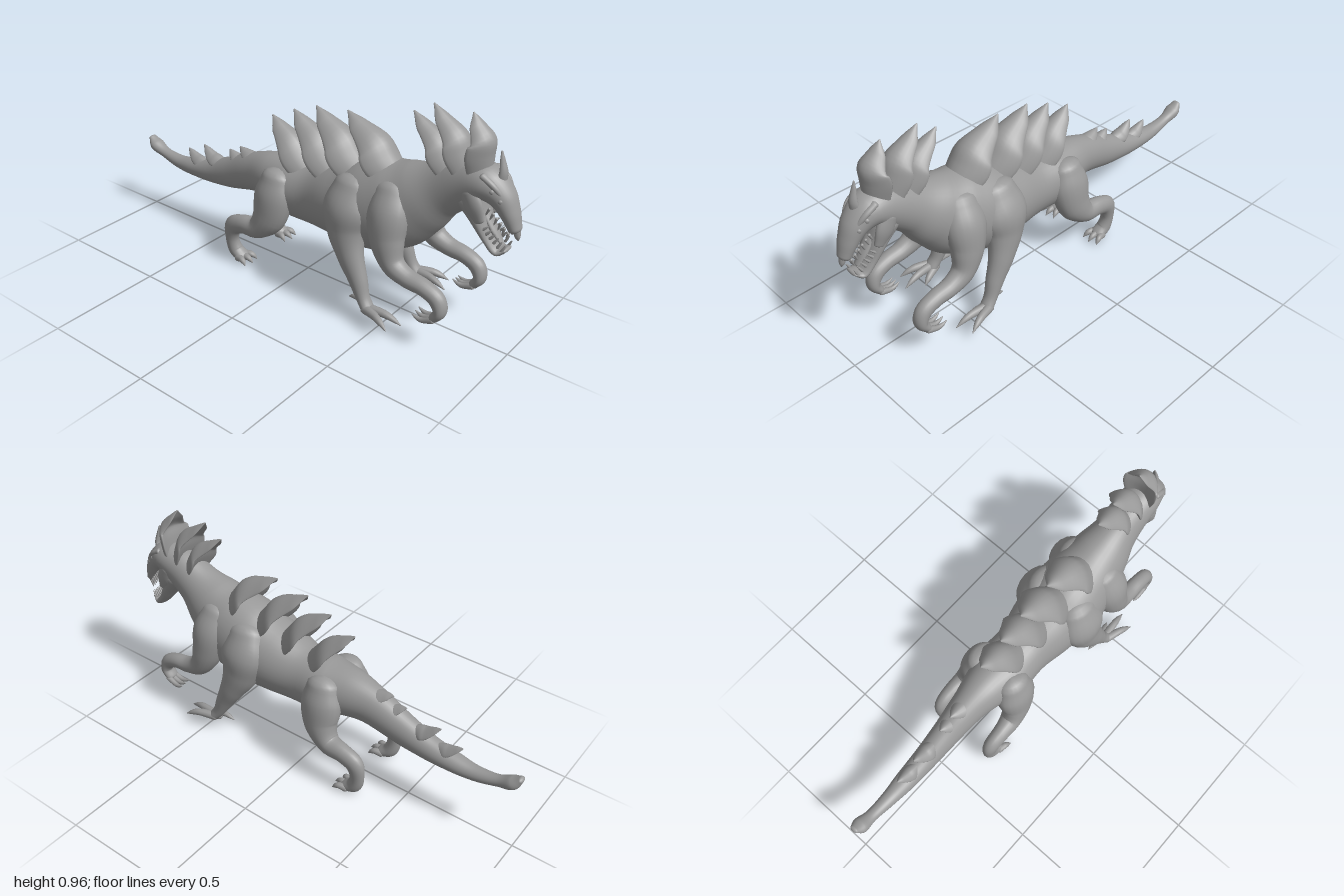
import * as THREE from 'three';

const hide = new THREE.MeshStandardMaterial({ color: 0x999999 });
hide.name = 'grey hide';

// Smooth tube through [x, y, z, radius in profile, radius across]; edges may droop to cup the section.
function loft(name, pts, { steps = 6, sides = 20, droop = 0 } = {}) {
  const path = new THREE.CatmullRomCurve3(pts.map(p => new THREE.Vector3(p[0], p[1], p[2])));
  const radii = new THREE.CatmullRomCurve3(pts.map(p => new THREE.Vector3(p[3], p[4], 0)), false, 'catmullrom', 0.4);
  const n = (pts.length - 1) * steps;
  const rings = [];
  const capAngles = [0.02, 0.4, 0.8, 1.2];
  for (const a of capAngles) rings.push([0, Math.sin(a), -Math.cos(a)]);
  for (let i = 0; i <= n; i++) rings.push([i / n, 1, 0]);
  for (const a of [...capAngles].reverse()) rings.push([1, Math.sin(a), Math.cos(a)]);
  const pos = [], idx = [];
  const zAxis = new THREE.Vector3(0, 0, 1);
  rings.forEach(([t, scale, push], i) => {
    const c = path.getPoint(t), T = path.getTangent(t), r = radii.getPoint(t);
    const N = new THREE.Vector3().crossVectors(zAxis, T).normalize();
    const B = new THREE.Vector3().crossVectors(T, N);
    const ra = Math.max(r.x, 0.001), rb = Math.max(r.y, 0.001);
    c.addScaledVector(T, push * Math.min(ra, rb) * 0.7);
    for (let j = 0; j < sides; j++) {
      const a = j / sides * Math.PI * 2, s = Math.sin(a) * scale;
      const v = c.clone()
        .addScaledVector(N, Math.cos(a) * scale * ra + droop * s * s * rb)
        .addScaledVector(B, s * rb);
      pos.push(v.x, v.y, v.z);
      if (i < rings.length - 1) {
        const k = i * sides + j, l = i * sides + (j + 1) % sides;
        idx.push(k, l, k + sides, l, l + sides, k + sides);
      }
    }
  });
  const g = new THREE.BufferGeometry();
  g.setAttribute('position', new THREE.Float32BufferAttribute(pos, 3));
  g.setIndex(idx);
  g.computeVertexNormals();
  const m = new THREE.Mesh(g, hide);
  m.name = name;
  return m;
}

// Pointed digit or claw: base, arched middle, tip.
function claw(name, a, b, r, arch = 0.015) {
  const mid = (k, f) => a[k] + (b[k] - a[k]) * f;
  return loft(name, [
    [...a, r, r],
    [mid(0, 0.5), mid(1, 0.5) + arch, mid(2, 0.5), r * 0.8, r * 0.8],
    [mid(0, 0.75), mid(1, 0.75) + arch * 0.8, mid(2, 0.75), r * 0.6, r * 0.6],
    [...b, 0.002, 0.002]], { steps: 3, sides: 10 });
}

// Cupped leaf-shaped spine, swept from base through a bend to its tip.
function spine(name, base, bend, tip, width, thick, droop = 0.55) {
  const mix = (a, b, f) => a + (b - a) * f;
  return loft(name, [
    [base[0], base[1], 0, thick * 1.3, width * 0.75],
    [mix(base[0], bend[0], 0.6), mix(base[1], bend[1], 0.6), 0, thick * 1.2, width],
    [bend[0], bend[1], 0, thick, width * 0.9],
    [mix(bend[0], tip[0], 0.6), mix(bend[1], tip[1], 0.6), 0, thick * 0.6, width * 0.5],
    [tip[0], tip[1], 0, 0.003, 0.004]], { steps: 5, sides: 24, droop });
}

export function createModel() {
  const model = new THREE.Group();
  model.name = 'sixLeggedBeast';

  // Tail, trunk, neck and upper head in one skin
  model.add(loft('body', [
    [-0.99, 0.37, 0, 0.012, 0.02], [-0.96, 0.338, 0, 0.028, 0.036], [-0.9, 0.312, 0, 0.024, 0.027],
    [-0.8, 0.293, 0, 0.032, 0.034], [-0.7, 0.297, 0, 0.042, 0.045], [-0.58, 0.312, 0, 0.056, 0.052],
    [-0.45, 0.345, 0, 0.075, 0.06], [-0.3, 0.395, 0, 0.092, 0.075], [-0.19, 0.41, 0, 0.11, 0.1],
    [-0.08, 0.4, 0, 0.13, 0.13], [0.05, 0.402, 0, 0.138, 0.125], [0.2, 0.425, 0, 0.165, 0.155],
    [0.35, 0.455, 0, 0.195, 0.17], [0.48, 0.505, 0, 0.185, 0.155], [0.58, 0.565, 0, 0.148, 0.125],
    [0.67, 0.627, 0, 0.108, 0.095], [0.76, 0.682, 0, 0.095, 0.086], [0.84, 0.71, 0, 0.076, 0.082],
    [0.905, 0.677, 0, 0.054, 0.062], [0.945, 0.62, 0, 0.038, 0.047], [0.972, 0.56, 0, 0.026, 0.032],
  ], { steps: 5, sides: 36 }));

  // Lower jaw, tongue and beak tip
  model.add(loft('lowerJaw', [
    [0.79, 0.64, 0, 0.06, 0.078], [0.84, 0.555, 0, 0.034, 0.064], [0.88, 0.49, 0, 0.022, 0.052],
    [0.92, 0.45, 0, 0.018, 0.045], [0.952, 0.465, 0, 0.008, 0.03]]));
  model.add(loft('tongue', [
    [0.85, 0.59, 0, 0.012, 0.025], [0.89, 0.53, 0, 0.012, 0.025], [0.925, 0.485, 0, 0.006, 0.014]]));
  model.add(claw('beakTip', [0.978, 0.56, 0], [0.99, 0.515, 0], 0.016, 0));

  // Brow horn and the three crest spines
  model.add(spine('browHorn', [0.9, 0.71], [0.906, 0.77], [0.89, 0.848], 0.024, 0.014, 0.2));
  const crest = [
    [[0.71, 0.7], [0.645, 0.82], [0.515, 0.905], 0.08],
    [[0.78, 0.72], [0.725, 0.86], [0.6, 0.957], 0.085],
    [[0.83, 0.73], [0.838, 0.875], [0.765, 0.964], 0.085]];
  for (const [a, b, c, w] of crest) model.add(spine('crestSpine', a, b, c, w, 0.02));

  // Large back spines and small tail spines
  const back = [
    [[0.04, 0.47], [-0.07, 0.615], [-0.195, 0.7], 0.09],
    [[0.18, 0.51], [0.07, 0.665], [-0.075, 0.757], 0.1],
    [[0.31, 0.56], [0.2, 0.71], [0.045, 0.803], 0.11],
    [[0.47, 0.6], [0.37, 0.74], [0.205, 0.825], 0.11]];
  for (const [a, b, c, w] of back) model.add(spine('backSpine', a, b, c, w, 0.025));
  const tail = [
    [[-0.62, 0.335], [-0.675, 0.355], [-0.73, 0.385], 0.036],
    [[-0.51, 0.375], [-0.565, 0.395], [-0.625, 0.433], 0.042],
    [[-0.35, 0.41], [-0.4, 0.432], [-0.46, 0.458], 0.048],
    [[-0.25, 0.45], [-0.32, 0.47], [-0.395, 0.49], 0.055]];
  for (const [a, b, c, w] of tail) model.add(spine('tailSpine', a, b, c, w, 0.016));

  for (const s of [1, -1]) {
    const side = new THREE.Group();
    side.name = s > 0 ? 'nearSide' : 'farSide';
    const limb = (name, pts) => side.add(loft(name, pts.map(([x, y, z, a, b]) => [x, y, z * s, a, b])));
    const digit = (name, a, b, r, arch) =>
      side.add(claw(name, [a[0], a[1], a[2] * s], [b[0], b[1], b[2] * s], r, arch));

    // Hind leg with forward-pointing toes
    limb('hindLeg', [
      [-0.1, 0.46, 0.085, 0.075, 0.06], [-0.105, 0.38, 0.105, 0.095, 0.07], [-0.12, 0.28, 0.125, 0.08, 0.06],
      [-0.175, 0.215, 0.14, 0.052, 0.048], [-0.25, 0.205, 0.148, 0.044, 0.038], [-0.31, 0.178, 0.148, 0.044, 0.034],
      [-0.327, 0.11, 0.145, 0.033, 0.028], [-0.31, 0.05, 0.14, 0.034, 0.032], [-0.27, 0.026, 0.137, 0.024, 0.036]]);
    for (const d of [-1, 0, 1])
      digit('hindToe', [-0.28, 0.026, 0.138 + d * 0.022], [-0.212 - Math.abs(d) * 0.01, 0.012, 0.138 + d * 0.04], 0.018, 0.012);

    // Middle leg with splayed toes
    limb('middleLeg', [
      [0.31, 0.555, 0.085, 0.09, 0.07], [0.305, 0.46, 0.12, 0.115, 0.085], [0.315, 0.37, 0.14, 0.088, 0.068],
      [0.35, 0.28, 0.16, 0.06, 0.05], [0.395, 0.19, 0.168, 0.042, 0.038], [0.43, 0.115, 0.175, 0.028, 0.03],
      [0.46, 0.075, 0.18, 0.024, 0.032]]);
    digit('middleToe', [0.45, 0.08, 0.18], [0.61, 0.055, 0.165], 0.021);
    digit('middleToe', [0.45, 0.08, 0.19], [0.585, 0.058, 0.237], 0.021);
    digit('middleToe', [0.44, 0.075, 0.17], [0.53, 0.04, 0.135], 0.02, 0.005);
    digit('rearToe', [0.44, 0.1, 0.17], [0.352, 0.088, 0.165], 0.016, 0.008);

    // Raised foreleg with a curled hand
    limb('foreLeg', [
      [0.485, 0.585, 0.075, 0.08, 0.065], [0.495, 0.5, 0.115, 0.092, 0.075], [0.51, 0.4, 0.14, 0.074, 0.062],
      [0.55, 0.315, 0.152, 0.05, 0.048], [0.62, 0.28, 0.155, 0.038, 0.04], [0.7, 0.267, 0.155, 0.034, 0.036],
      [0.757, 0.238, 0.154, 0.034, 0.034], [0.775, 0.19, 0.153, 0.026, 0.034], [0.752, 0.152, 0.152, 0.02, 0.032]]);
    for (const d of [-1, 0, 1])
      digit('foreClaw', [0.755, 0.15, 0.152 + d * 0.02], [0.665, 0.147 - d * 0.004, 0.152 + d * 0.024], 0.014, -0.014);

    // Jaw hinge muscle, brow ridge and paired eyes
    limb('cheek', [[0.8, 0.68, 0.055, 0.04, 0.03], [0.825, 0.63, 0.06, 0.04, 0.022], [0.85, 0.57, 0.052, 0.025, 0.014]]);
    limb('browRidge', [[0.85, 0.755, 0.052, 0.014, 0.018], [0.895, 0.728, 0.053, 0.012, 0.013], [0.935, 0.68, 0.034, 0.008, 0.01]]);
    for (const [x, y, z] of [[0.893, 0.708, 0.057], [0.925, 0.675, 0.047]]) {
      const eye = new THREE.Mesh(new THREE.SphereGeometry(0.012, 14, 10), hide);
      eye.name = 'eye';
      eye.position.set(x, y, z * s);
      side.add(eye);
    }

    // Teeth along both jaws
    for (let i = 0; i < 6; i++) {
      const f = i / 5;
      digit('upperTooth', [0.885 + 0.075 * f, 0.63 - 0.085 * f, 0.045 - 0.02 * f],
        [0.872 + 0.08 * f, 0.6 - 0.085 * f, 0.044 - 0.02 * f], 0.006, 0);
      digit('lowerTooth', [0.865 + 0.075 * f, 0.535 - 0.075 * f, 0.045 - 0.018 * f],
        [0.887 + 0.068 * f, 0.555 - 0.065 * f, 0.043 - 0.018 * f], 0.006, 0);
    }
    model.add(side);
  }
  return model;
}
